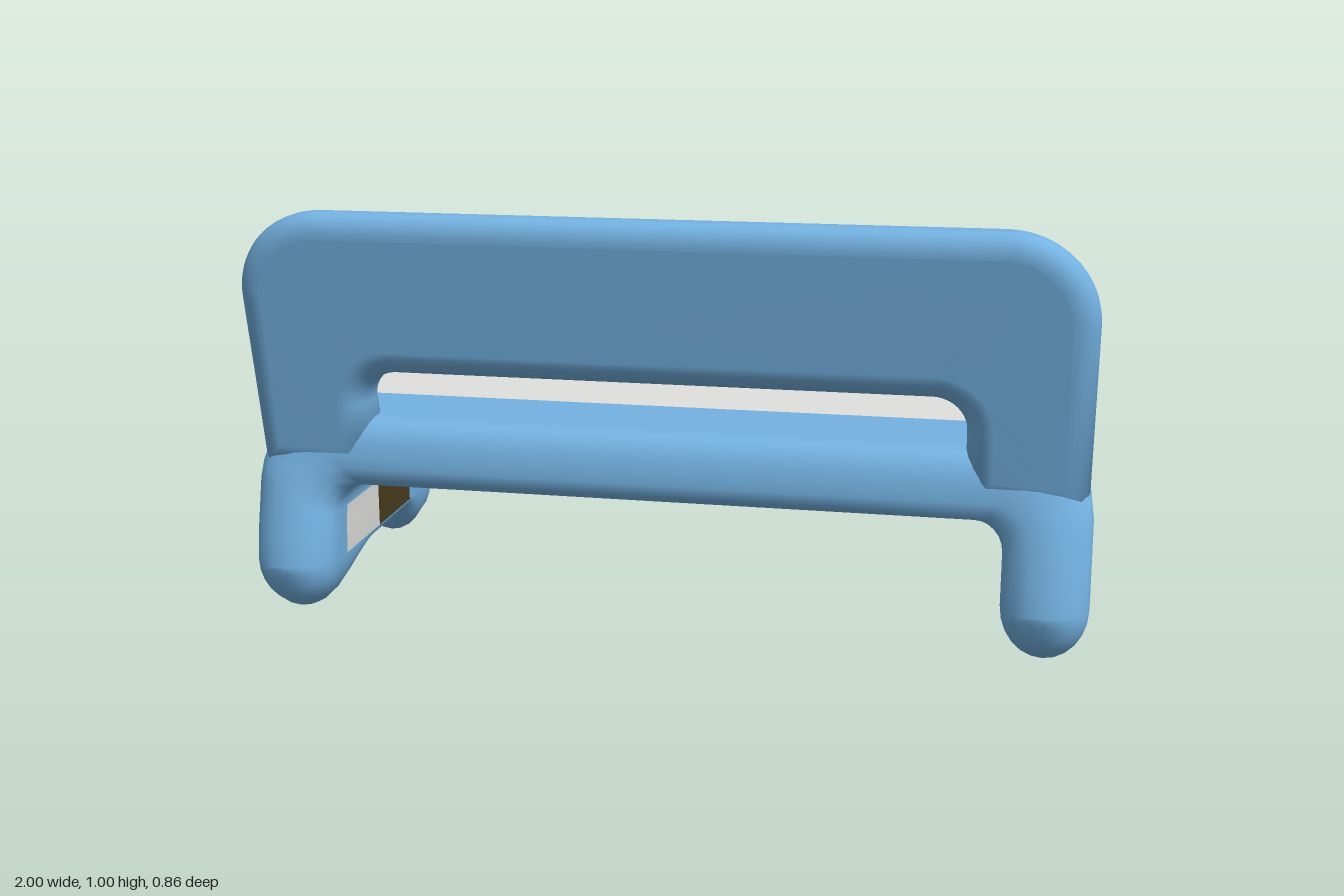
import * as THREE from 'three';
import { mergeVertices, toCreasedNormals } from 'three/addons/utils/BufferGeometryUtils.js';

const paint = (name, color) => {
  const m = new THREE.MeshStandardMaterial({ color });
  m.name = name;
  return m;
};

// Piecewise linear lookup through [x, y] points
function interp(pts, x) {
  if (x <= pts[0][0]) return pts[0][1];
  for (let i = 1; i < pts.length; i++) {
    const [x0, y0] = pts[i - 1], [x1, y1] = pts[i];
    if (x <= x1) return y0 + (y1 - y0) * (x - x0) / (x1 - x0);
  }
  return pts[pts.length - 1][1];
}

// Underside of the side panels (z, y): two feet with an arch between
const FOOT = [[-0.43, 0.12], [-0.405, 0.055], [-0.37, 0.015], [-0.32, 0], [-0.27, 0.025], [-0.2, 0.09],
  [0.05, 0.09], [0.1, 0.08], [0.2, 0.02], [0.25, 0.002], [0.3, 0], [0.34, 0.015], [0.38, 0.06], [0.4, 0.12]];
// Rear edge (y, z): the back leg flares out below the seat
const REAR = [[0.14, 0.4], [0.2, 0.39], [0.4, 0.33]];

// Seat and side panels: a rounded slab swept along an arch from foot to foot
function bodyGeometry() {
  // Slab section: z position and t (0 inner face, 1 outer face)
  const zs = [-0.37, -0.34, -0.32, -0.29, -0.26, -0.23, -0.2, -0.12, -0.04, 0.03, 0.07, 0.1, 0.14, 0.18, 0.22, 0.245, 0.27];
  const loop = zs.map(z => [z, 1]);
  const round = (c, dir, from) => {
    for (let i = 1; i < 8; i++) {
      const a = Math.PI * i / 8, t = 0.5 + 0.5 * Math.cos(a);
      loop.push([c + dir * 0.06 * Math.sin(a), from ? t : 1 - t]);
    }
  };
  round(0.27, 1, true);
  zs.slice().reverse().forEach(z => loop.push([z, 0]));
  round(-0.37, -1, false);

  // Stations for the +x half: rounded foot, leg, corner, seat
  const half = [];
  for (let i = 6; i >= 1; i--) half.push({ foot: Math.PI / 2 * i / 6 });
  for (const y of [0.13, 0.2]) half.push({ o: [1, y], i: [0.8, y] });
  for (let i = 0; i <= 6; i++) {
    const a = Math.PI / 2 * i / 6, c = Math.cos(a), s = Math.sin(a);
    half.push({ o: [0.85 + 0.15 * c, 0.335 + 0.15 * s], i: [0.73 + 0.07 * c, 0.25 + 0.07 * s] });
  }
  half.push({ o: [0.4, 0.485], i: [0.4, 0.32] });
  const stations = half.map(h => ({ ...h, side: 1 }));
  stations.push({ o: [0, 0.485], i: [0, 0.32], side: 1 });
  stations.push(...half.map(h => ({ ...h, side: -1 })).reverse());

  const pos = [], n = loop.length, count = stations.length;
  for (const s of stations) {
    for (const [z0, t] of loop) {
      let x, y;
      if (s.foot === undefined) {
        x = s.i[0] + (s.o[0] - s.i[0]) * t;
        y = s.i[1] + (s.o[1] - s.i[1]) * t;
      } else {
        x = 0.9 + 0.2 * (t - 0.5) * Math.cos(s.foot);
        y = 0.13;
      }
      const z = z0 > 0.1 ? 0.1 + (z0 - 0.1) * (interp(REAR, y) - 0.1) / 0.23 : z0;
      if (s.foot !== undefined) {
        const f = interp(FOOT, z);
        y = f + (0.13 - f) * (1 - Math.sin(s.foot));
      }
      pos.push(s.side * x, y, z);
    }
  }

  // Faces sorted by colour: blue body, pale bands, dark inner patches
  const faces = [[], [], []];
  for (let j = 0; j < count - 1; j++) {
    const end = Math.min(j, count - 2 - j);
    for (let k = 0; k < n; k++) {
      const k2 = (k + 1) % n, [za, ta] = loop[k], [zb, tb] = loop[k2], mid = (za + zb) / 2;
      const band = mid > -0.2 && mid < 0.03;
      let colour = 0;
      if (ta === 1 && tb === 1 && band && end >= 6) colour = 1;
      if (ta === 0 && tb === 0 && (end === 6 || end === 7)) {
        if (band) colour = 2;
        else if (mid > 0.03 && mid < 0.22) colour = 1;
      }
      const a = j * n + k, b = a + n, c = j * n + k2, d = c + n;
      faces[colour].push(a, b, c, b, d, c);
    }
  }
  const g = new THREE.BufferGeometry();
  g.setAttribute('position', new THREE.Float32BufferAttribute(pos, 3));
  g.setIndex(faces.flat());
  let start = 0;
  faces.forEach((f, i) => { g.addGroup(start, f.length, i); start += f.length; });
  g.computeVertexNormals();
  return g;
}

// Upside-down U outline with rounded corners
function archShape(w, top, bottom, r, holeW, holeTop, holeR) {
  const s = new THREE.Shape();
  s.moveTo(-w, bottom);
  s.lineTo(-holeW, bottom);
  s.lineTo(-holeW, holeTop - holeR);
  s.absarc(-holeW + holeR, holeTop - holeR, holeR, Math.PI, Math.PI / 2, true);
  s.lineTo(holeW - holeR, holeTop);
  s.absarc(holeW - holeR, holeTop - holeR, holeR, Math.PI / 2, 0, true);
  s.lineTo(holeW, bottom);
  s.lineTo(w, bottom);
  s.lineTo(w, top - r);
  s.absarc(w - r, top - r, r, 0, Math.PI / 2, false);
  s.lineTo(-w + r, top);
  s.absarc(-w + r, top - r, r, Math.PI / 2, Math.PI, false);
  s.closePath();
  return s;
}

// Lean of the backrest's front and rear faces
const frontZ = y => 0.17 + 0.285 * (y - 0.48);
const rearZ = y => 0.33 + 0.185 * (y - 0.4);

// Move each vertex in z by a rule of its height and depth
function lean(geometry, rule) {
  const p = geometry.attributes.position;
  for (let i = 0; i < p.count; i++) p.setZ(i, rule(p.getY(i), p.getZ(i)));
  geometry.deleteAttribute('normal');
  geometry.deleteAttribute('uv');
  return geometry;
}

export function createModel() {
  const blue = paint('soft blue', 0x74b2e2);
  const pale = paint('pale grey', 0xe0e0de);
  const dark = paint('dark brown', 0x4a3c1e);
  const model = new THREE.Group();
  model.name = 'bench';
  const add = (name, geometry, material) => {
    const mesh = new THREE.Mesh(geometry, material);
    mesh.name = name;
    model.add(mesh);
  };

  add('seatAndLegs', bodyGeometry(), [blue, pale, dark]);

  // Backrest frame, thicker at the seat than at the top
  const frame = lean(new THREE.ExtrudeGeometry(archShape(0.99, 1, 0.36, 0.21, 0.71, 0.61, 0.08), {
    depth: 0.2, bevelThickness: 0.4, bevelSize: 0.06, bevelOffset: -0.06, bevelSegments: 8, curveSegments: 10,
  }), (y, z) => frontZ(y) + (rearZ(y) - frontZ(y)) * (z + 0.4));
  const smooth = mergeVertices(frame, 1e-4);
  smooth.computeVertexNormals();
  add('backrest', smooth, blue);

  // Thin pale panel on the seat side of the backrest
  const panel = lean(new THREE.ExtrudeGeometry(archShape(0.9, 0.93, 0.49, 0.08, 0.74, 0.645, 0.06), {
    depth: 0.009, bevelEnabled: false, curveSegments: 8,
  }), (y, z) => frontZ(y) - 0.007 + z);
  add('backrestPanel', toCreasedNormals(panel, 0.6), pale);

  return model;
}
